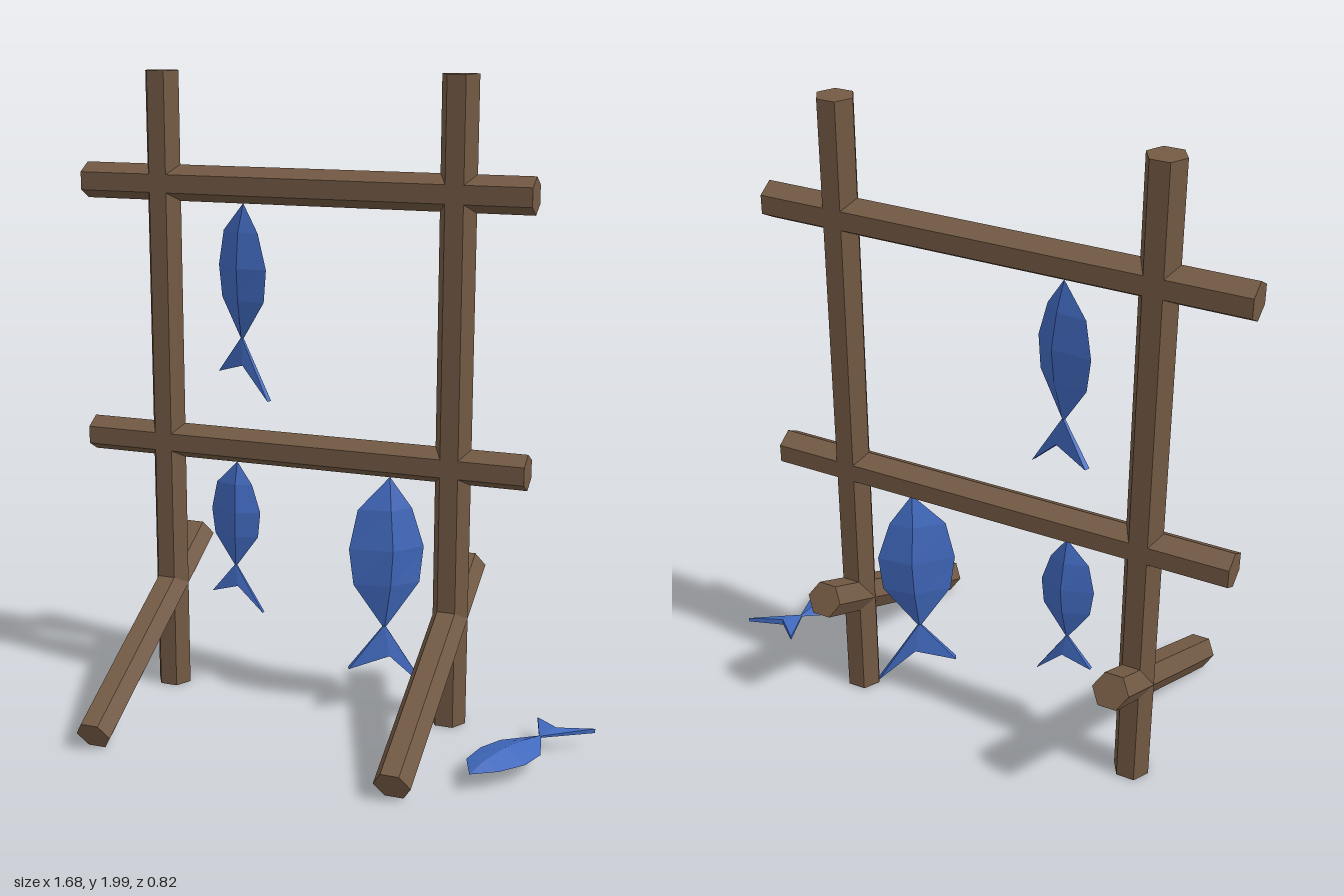
import * as THREE from 'three';

const wood = new THREE.MeshStandardMaterial({ color: 0x735a44, flatShading: true });
const scales = new THREE.MeshStandardMaterial({ color: 0x4169be, flatShading: true });

// Six-sided pole along y, with corners pointing to +x and -x
function pole(name, length, x, y, z, rx = 0, rz = 0) {
  const geometry = new THREE.CylinderGeometry(0.056, 0.056, length, 6).rotateY(Math.PI / 2);
  const mesh = new THREE.Mesh(geometry, wood);
  mesh.name = name;
  mesh.position.set(x, y, z);
  mesh.rotation.set(rx, 0, rz);
  return mesh;
}

// Fish of unit body length, nose at the origin, tail pointing down -y
function fishGeometry() {
  const points = [];
  const tri = (...corners) => corners.forEach((p) => points.push(...p));

  // Body cross-sections: distance from nose, left edge, ridge, right edge, half thickness
  const rings = [
    [0, 0, 0, 0, 0],
    [0.21, -0.205, 0, 0.145, 0.06],
    [0.47, -0.26, 0.01, 0.225, 0.09],
    [0.71, -0.23, 0.0, 0.2, 0.07],
    [1, -0.04, -0.025, -0.01, 0.012],
  ].map(([a, l, m, r, t]) => [[l, -a, 0], [m, -a, t], [r, -a, 0], [m, -a, -t]]);
  for (let i = 0; i < rings.length - 1; i++) {
    for (let j = 0; j < 4; j++) {
      const k = (j + 1) % 4;
      const [a, b, c, d] = [rings[i][j], rings[i][k], rings[i + 1][j], rings[i + 1][k]];
      if (i > 0) tri(a, c, b);
      tri(b, c, d);
    }
  }

  // Forked tail: neck, left tip, notch, right tip, each with a half thickness
  const outline = [[-0.025, -0.99, 0.008], [-0.26, -1.28, 0.02], [0.005, -1.2, 0.032], [0.25, -1.44, 0.02]];
  const front = outline;
  const back = outline.map(([x, y, t]) => [x, y, -t]);
  tri(front[0], front[1], front[2]);
  tri(front[0], front[2], front[3]);
  tri(back[0], back[2], back[1]);
  tri(back[0], back[3], back[2]);
  for (let i = 0; i < 4; i++) {
    const k = (i + 1) % 4;
    tri(front[i], back[i], front[k]);
    tri(front[k], back[i], back[k]);
  }

  const geometry = new THREE.BufferGeometry();
  geometry.setAttribute('position', new THREE.Float32BufferAttribute(points, 3));
  geometry.computeVertexNormals();
  return geometry;
}

export function createModel() {
  const model = new THREE.Group();
  model.name = 'fishDryingRack';
  const rackZ = -0.182;

  // Upright posts, each with a slanted brace through its foot
  for (const [side, x] of [['right', -0.585], ['left', 0.36]]) {
    model.add(pole(side + 'Post', 1.99, x, 1.005, rackZ));
    model.add(pole(side + 'Brace', 0.88, x, 0.259, 0.002, -1.082));
  }

  // Cross rails
  model.add(pole('upperRail', 1.44, -0.13, 1.66, rackZ, 0, Math.PI / 2));
  model.add(pole('lowerRail', 1.44, -0.13, 0.84, rackZ, 0, Math.PI / 2));

  // Fish: name, length, nose position, pitch, turn
  const geometry = fishGeometry();
  const fish = [
    ['upperFish', 0.42, [-0.32, 1.605, rackZ], 0, -0.38],
    ['smallFish', 0.345, [-0.35, 0.785, rackZ], 0, 0],
    ['largeFish', 0.485, [0.16, 0.785, rackZ], 0, 0.49],
    ['fallenFish', 0.342, [0.55, 0.063, 0.262], Math.PI / 2, -0.42],
  ];
  for (const [name, size, position, pitch, turn] of fish) {
    const mesh = new THREE.Mesh(geometry, scales);
    mesh.name = name;
    mesh.scale.setScalar(size);
    mesh.position.set(...position);
    mesh.rotation.set(pitch, turn, 0, 'YXZ');
    model.add(mesh);
  }
  return model;
}
